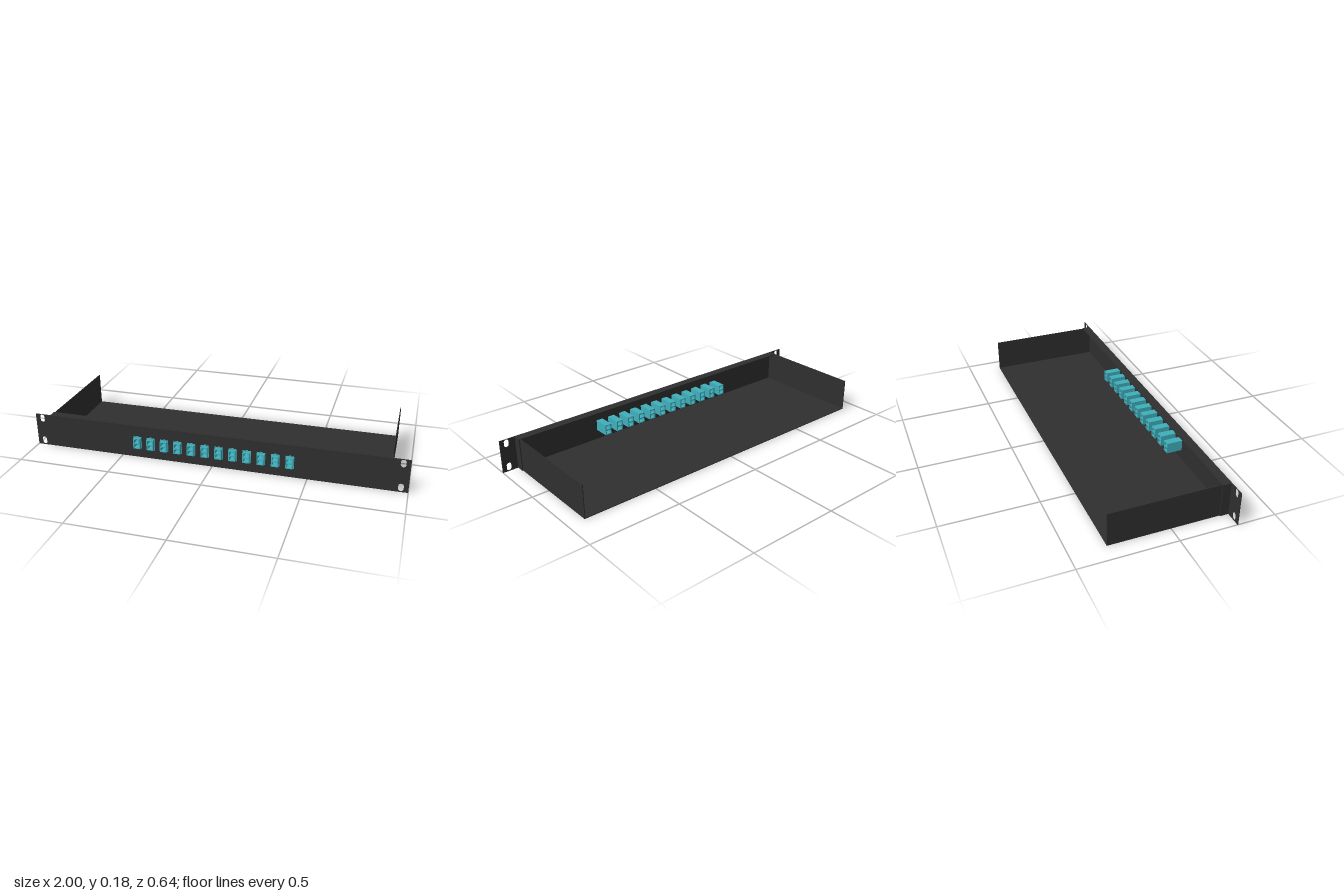
import * as THREE from 'three';

const charcoal = new THREE.MeshStandardMaterial({ color: 0x2f2f2f });
charcoal.name = 'charcoal steel';
const teal = new THREE.MeshStandardMaterial({ color: 0x40b0bc });
teal.name = 'teal plastic';

const PORTS = 12, PITCH = 0.0745, PORT_Y = 0.086;
const HALF_W = 0.91, HEIGHT = 0.18, BACK = -0.32, FRONT = 0.301, SHEET = 0.004;

function rectPoints(PathType, cx, cy, w, h) {
  const p = new PathType();
  p.moveTo(cx - w / 2, cy - h / 2);
  p.lineTo(cx + w / 2, cy - h / 2);
  p.lineTo(cx + w / 2, cy + h / 2);
  p.lineTo(cx - w / 2, cy + h / 2);
  p.closePath();
  return p;
}

// Upright slot with rounded ends
function slot(cx, cy, w, h) {
  const r = w / 2, d = h / 2 - r;
  const p = new THREE.Path();
  p.moveTo(cx + r, cy - d);
  p.lineTo(cx + r, cy + d);
  p.absarc(cx, cy + d, r, 0, Math.PI, false);
  p.lineTo(cx - r, cy - d);
  p.absarc(cx, cy - d, r, Math.PI, Math.PI * 2, false);
  return p;
}

// Socket opening with a narrow key notch on top
function socket(cy) {
  const w = 0.013, h = 0.0095, n = 0.005, k = 0.004;
  const p = new THREE.Path();
  p.moveTo(-w, cy - h);
  p.lineTo(w, cy - h);
  p.lineTo(w, cy + h);
  p.lineTo(n, cy + h);
  p.lineTo(n, cy + h + k);
  p.lineTo(-n, cy + h + k);
  p.lineTo(-n, cy + h);
  p.lineTo(-w, cy + h);
  p.closePath();
  return p;
}

function extrude(shape, z0, z1, material, name) {
  const geo = new THREE.ExtrudeGeometry(shape, { depth: z1 - z0, bevelEnabled: false, curveSegments: 12 });
  geo.translate(0, 0, z0);
  const mesh = new THREE.Mesh(geo, material);
  mesh.name = name;
  return mesh;
}

// Box given by its minimum and maximum corners
function box(name, material, a, b) {
  const mesh = new THREE.Mesh(new THREE.BoxGeometry(b[0] - a[0], b[1] - a[1], b[2] - a[2]), material);
  mesh.position.set((a[0] + b[0]) / 2, (a[1] + b[1]) / 2, (a[2] + b[2]) / 2);
  mesh.name = name;
  return mesh;
}

function makeAdapter() {
  const g = new THREE.Group();
  // Tunnel body and its mounting collar share the two sockets
  for (const [name, w, h, z0, z1] of [
    ['adapterBody', 0.038, 0.058, 0.212, 0.322],
    ['adapterCollar', 0.044, 0.066, FRONT, 0.307],
  ]) {
    const shape = rectPoints(THREE.Shape, 0, 0, w, h);
    shape.holes.push(socket(0.0125), socket(-0.0145));
    g.add(extrude(shape, z0, z1, teal, name));
  }
  // Retaining clip above the collar
  g.add(box('adapterClip', teal, [-0.005, 0.029, FRONT], [0.005, 0.037, 0.306]));
  return g;
}

export function createModel() {
  const model = new THREE.Group();
  model.name = 'rackPatchPanel';

  // Front panel with rack slots and adapter cutouts
  const face = rectPoints(THREE.Shape, 0, HEIGHT / 2, 2, HEIGHT);
  for (const s of [-1, 1]) for (const y of [0.025, 0.157]) face.holes.push(slot(s * 0.963, y, 0.027, 0.043));
  const portX = Array.from({ length: PORTS }, (_, i) => (i - (PORTS - 1) / 2) * PITCH);
  for (const x of portX) face.holes.push(rectPoints(THREE.Path, x, PORT_Y, 0.0378, 0.0578));
  model.add(extrude(face, FRONT - SHEET, FRONT, charcoal, 'frontPanel'));

  // Open tray: floor and two side walls
  const inner = FRONT - SHEET;
  model.add(box('trayFloor', charcoal, [-HALF_W, 0, BACK], [HALF_W, SHEET, inner]));
  for (const s of [-1, 1]) {
    const side = s > 0 ? 'left' : 'right';
    const wall = box(side + 'Wall', charcoal, [-SHEET / 2, SHEET, BACK], [SHEET / 2, HEIGHT, inner]);
    wall.position.x = s * (HALF_W - SHEET / 2);
    // Folded tab of the front panel lapping the wall
    const tab = box(side + 'Tab', charcoal, [-0.0025, 0, 0.253], [0.0025, HEIGHT, inner]);
    tab.position.x = s * (HALF_W + 0.0025);
    model.add(wall, tab);
  }

  // Folded lip along the top of the front panel
  model.add(box('topLip', charcoal, [-HALF_W + SHEET, HEIGHT - SHEET, 0.253], [HALF_W - SHEET, HEIGHT, inner]));

  // Row of adapters
  portX.forEach((x, i) => {
    const adapter = makeAdapter();
    adapter.name = 'adapter' + (i + 1);
    adapter.position.set(x, PORT_Y, 0);
    model.add(adapter);
  });
  return model;
}
